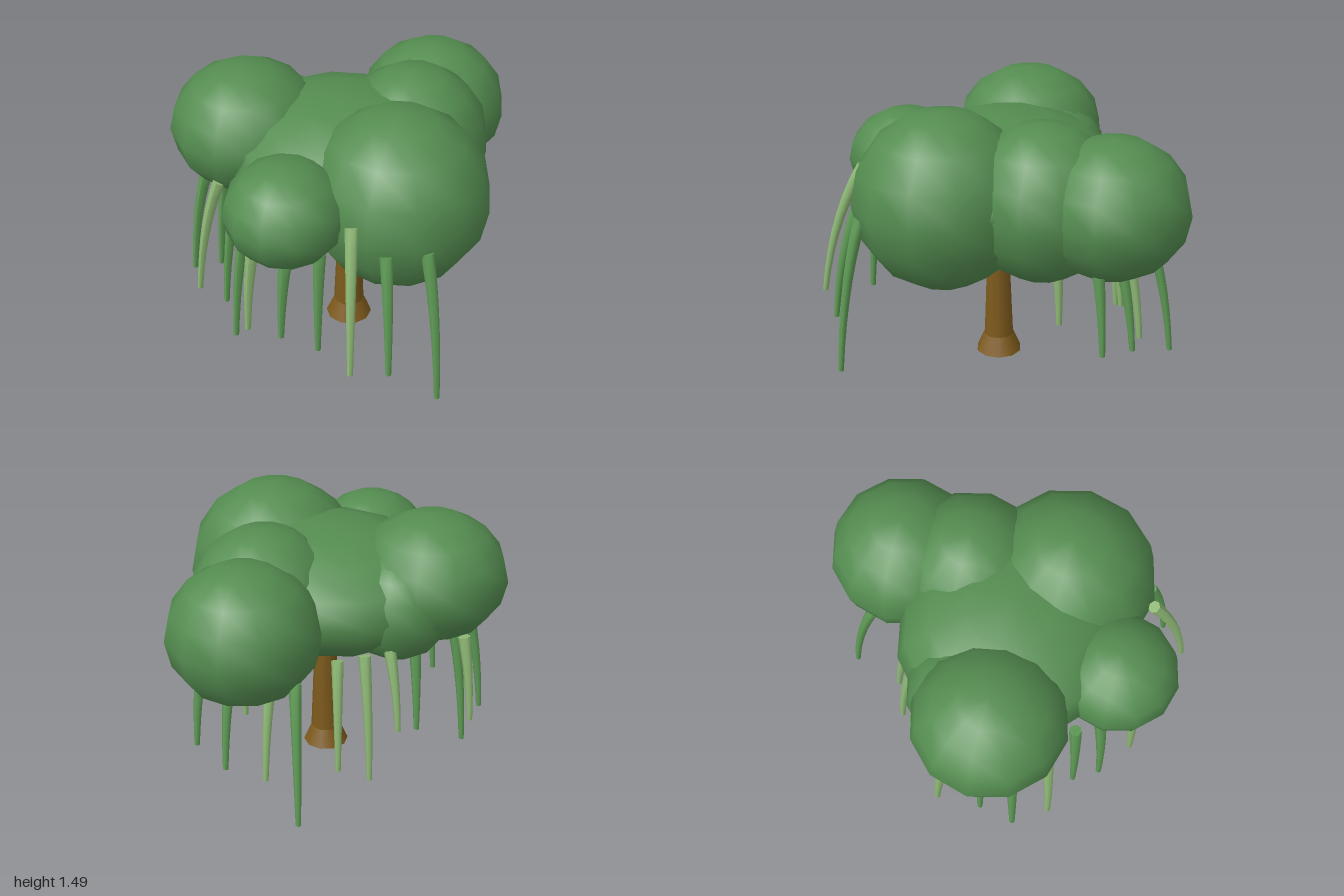
import * as THREE from 'three';

const mat = (color) => new THREE.MeshStandardMaterial({ color });
const V = (x, y, z) => new THREE.Vector3(x, y, z);

// Tapered, capped cylinder bent along a curve from top to tip
function bentStrand(curve, rTop, rTip) {
  const geo = new THREE.CylinderGeometry(rTop, rTip, 1, 7, 7);
  const pos = geo.attributes.position;
  const q = new THREE.Quaternion();
  const v = V(0, 0, 0);
  for (let i = 0; i < pos.count; i++) {
    const t = THREE.MathUtils.clamp(0.5 - pos.getY(i), 0, 1);
    q.setFromUnitVectors(V(0, 1, 0), curve.getTangent(t).negate());
    v.set(pos.getX(i), 0, pos.getZ(i)).applyQuaternion(q).add(curve.getPoint(t));
    pos.setXYZ(i, v.x, v.y, v.z);
  }
  geo.computeVertexNormals();
  return geo;
}

export function createModel() {
  const tree = new THREE.Group();
  tree.name = 'weepingTree';
  const bark = mat(0x7d5a1c);
  const leaf = mat(0x548c50);
  const strandDark = mat(0x5f9c56);
  const strandLight = mat(0x8fba76);

  // Trunk with a flared foot
  const trunk = new THREE.Group();
  trunk.name = 'trunk';
  const foot = new THREE.Mesh(new THREE.CylinderGeometry(0.083, 0.126, 0.1, 10), bark);
  foot.name = 'trunkFoot';
  foot.position.set(0.09, 0.05, 0.095);
  const stem = new THREE.Mesh(new THREE.CylinderGeometry(0.05, 0.083, 0.8, 10), bark);
  stem.name = 'trunkStem';
  stem.position.set(0.09, 0.5, 0.095);
  trunk.add(foot, stem);
  tree.add(trunk);

  // Canopy clumps: centre, then radii
  const canopy = new THREE.Group();
  canopy.name = 'canopy';
  const clumps = {
    middleClump: [0.07, 1.05, 0.06, 0.68, 0.34, 0.6],
    rightClump: [-0.49, 1.135, 0.1, 0.41, 0.345, 0.41],
    leftClump: [0.42, 1.017, 0.28, 0.48, 0.475, 0.475],
    backClump: [0.325, 1.04, -0.6, 0.403, 0.37, 0.4],
    backLeftClump: [0.33, 1.03, -0.23, 0.41, 0.42, 0.41],
    frontClump: [-0.035, 1.05, 0.66, 0.32, 0.27, 0.325],
    backRightClump: [-0.35, 1.03, -0.08, 0.3, 0.3, 0.3],
  };
  for (const [name, [x, y, z, rx, ry, rz]] of Object.entries(clumps)) {
    const clump = new THREE.Mesh(new THREE.SphereGeometry(1, 12, 8), leaf);
    clump.name = name;
    clump.position.set(x, y, z);
    clump.scale.set(rx, ry, rz);
    canopy.add(clump);
  }
  tree.add(canopy);

  // Hanging strands: tip, top, light or dark
  const strands = new THREE.Group();
  strands.name = 'hangingStrands';
  const list = [
    [[-0.77, 0.4, -0.12], [-0.71, 0.88, -0.08], 1],
    [[-0.76, 0.23, 0.305], [-0.67, 0.87, 0.27], 0],
    [[-0.7, 0.125, 0.1], [-0.62, 0.85, 0.1], 0],
    [[-0.645, 0.245, 0.48], [-0.52, 0.95, 0.42], 1],
    [[-0.5, 0.36, -0.22], [-0.47, 0.84, -0.18], 0],
    [[-0.44, 0.285, 0.57], [-0.37, 0.95, 0.53], 0],
    [[-0.43, 0.43, -0.37], [-0.36, 0.88, -0.3], 1],
    [[-0.33, 0.18, 0.7], [-0.27, 0.9, 0.64], 0],
    [[-0.305, 0.17, -0.48], [-0.25, 0.87, -0.39], 1],
    [[-0.195, 0.37, 0.83], [-0.17, 0.85, 0.79], 1],
    [[-0.15, 0.245, -0.545], [-0.12, 0.85, -0.44], 1],
    [[-0.02, 0.09, -0.855], [0.03, 0.84, -0.7], 0],
    [[0, 0.39, 0.85], [0.01, 0.82, 0.8], 0],
    [[0.185, 0.33, 0.81], [0.175, 0.9, 0.75], 0],
    [[0.19, 0.25, -0.73], [0.18, 0.82, -0.62], 1],
    [[0.425, 0.385, 0.985], [0.345, 1.11, 0.76], 1],
    [[0.58, 0.32, 0.85], [0.51, 0.95, 0.72], 0],
    [[0.405, 0.29, -0.74], [0.39, 0.82, -0.64], 0],
    [[0.42, 0.385, -0.35], [0.41, 0.8, -0.33], 1],
    [[0.6, 0.34, -0.63], [0.56, 0.84, -0.58], 0],
    [[0.805, 0.13, 0.73], [0.69, 0.96, 0.63], 0],
  ];
  for (const [tip, top, light] of list) {
    const a = V(...top), c = V(...tip);
    // bends outward first, then drops
    const b = a.clone().lerp(c, 0.75);
    b.y = THREE.MathUtils.lerp(a.y, c.y, 0.4);
    const curve = new THREE.QuadraticBezierCurve3(a, b, c);
    const strand = new THREE.Mesh(bentStrand(curve, 0.034, 0.015), light ? strandLight : strandDark);
    strand.name = 'hangingStrand';
    strands.add(strand);
  }
  tree.add(strands);
  return tree;
}
